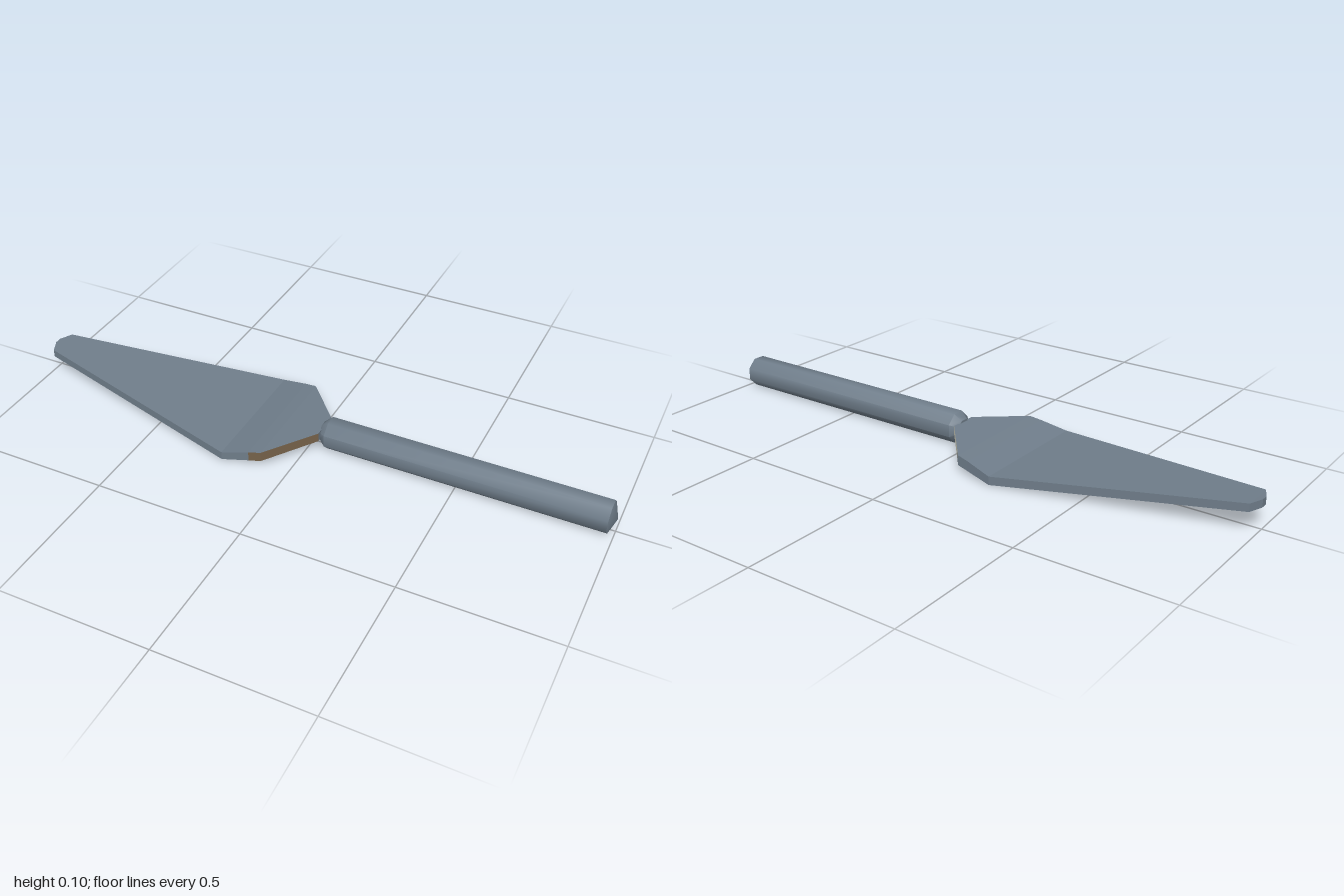
import * as THREE from 'three';
import { toCreasedNormals } from 'three/addons/utils/BufferGeometryUtils.js';

const material = (name, color, side) => {
  const m = new THREE.MeshStandardMaterial({ color, side });
  m.name = name;
  return m;
};

// Blade cross-sections from tip to neck: x, half width, bottom y, top y
const SECTIONS = [
  [-1, 0.012, 0.072, 0.098],
  [-0.98, 0.055, 0.07, 0.096],
  [-0.22, 0.221, 0.002, 0.03],
  [-0.13, 0.206, 0.018, 0.051],
  [-0.09, 0.2, 0.025, 0.058],
  [-0.065, 0.171, 0.028, 0.061],
  [0.04, 0.048, 0.042, 0.073],
];

function bladeGeometry() {
  const pos = [];
  const groups = [];
  const quad = (a, b, c, d, mat) => {
    groups.push([pos.length / 3, 6, mat]);
    pos.push(...a, ...b, ...c, ...a, ...c, ...d);
  };
  // Corners of a section: top front, top back, bottom back, bottom front
  const ring = ([x, w, lo, hi]) => [[x, hi, w], [x, hi, -w], [x, lo, -w], [x, lo, w]];
  for (let i = 0; i < SECTIONS.length - 1; i++) {
    const a = ring(SECTIONS[i]);
    const b = ring(SECTIONS[i + 1]);
    const sideMats = [0, i >= 5 ? 2 : 0, 0, i >= 3 ? 1 : 0];
    for (let k = 0; k < 4; k++) {
      const n = (k + 1) % 4;
      quad(a[k], b[k], b[n], a[n], sideMats[k]);
    }
  }
  // End faces
  const tip = ring(SECTIONS[0]);
  const neck = ring(SECTIONS[SECTIONS.length - 1]);
  quad(tip[0], tip[1], tip[2], tip[3], 0);
  quad(neck[3], neck[2], neck[1], neck[0], 0);

  const g = new THREE.BufferGeometry();
  g.setAttribute('position', new THREE.Float32BufferAttribute(pos, 3));
  groups.forEach(([s, c, m]) => g.addGroup(s, c, m));
  g.computeVertexNormals();
  return g;
}

// Eight-sided handle turned along x, smooth along its length, with tapered ends
function handleGeometry() {
  const profile = [[0, 0.035], [0.032, 0.035], [0.054, 0.06], [0.054, 0.98], [0, 1]]
    .map(([r, x]) => new THREE.Vector2(r, x));
  const g = new THREE.LatheGeometry(profile, 8, Math.PI / 8);
  g.rotateZ(-Math.PI / 2);
  g.translate(0, 0.05, 0);
  return toCreasedNormals(g, 0.85);
}

export function createModel() {
  const steel = material('blue grey steel', 0x6f7d8a);
  const brown = material('brown edge', 0x76624a);
  const cream = material('cream edge', 0xdcdccb);

  const group = new THREE.Group();
  group.name = 'trowel';

  const blade = new THREE.Mesh(bladeGeometry(), [steel, brown, cream]);
  blade.name = 'blade';
  const handle = new THREE.Mesh(handleGeometry(), steel);
  handle.name = 'handle';
  group.add(blade, handle);
  return group;
}
